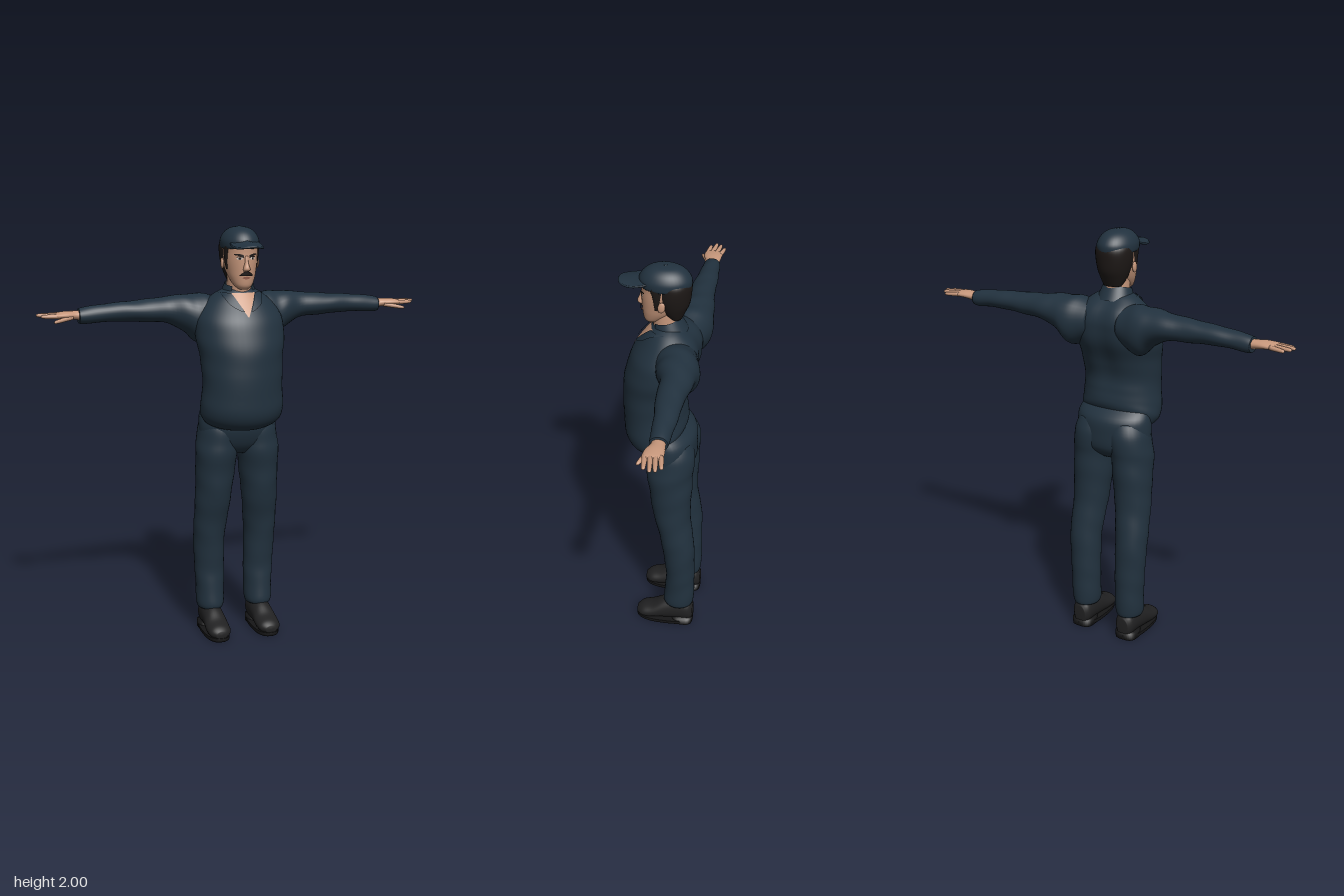
import * as THREE from 'three';

const mat = (name, color, side = THREE.FrontSide) => {
  const m = new THREE.MeshStandardMaterial({ color, side });
  m.name = name;
  return m;
};

// Catmull-Rom subdivision of rows [t, centreU, centreV, radiusU, radiusV]
function smooth(rows, steps = 5) {
  const out = [];
  for (let i = 0; i < rows.length - 1; i++) {
    const p0 = rows[Math.max(i - 1, 0)], p1 = rows[i], p2 = rows[i + 1], p3 = rows[Math.min(i + 2, rows.length - 1)];
    for (let s = 0; s < steps; s++) {
      const f = s / steps;
      out.push(p1.map((_, k) => 0.5 * (2 * p1[k] + (p2[k] - p0[k]) * f
        + (2 * p0[k] - 5 * p1[k] + 4 * p2[k] - p3[k]) * f * f
        + (3 * p1[k] - p0[k] - 3 * p2[k] + p3[k]) * f * f * f)));
    }
  }
  out.push(rows[rows.length - 1]);
  return out;
}

function makeGeometry(pos, index) {
  const g = new THREE.BufferGeometry();
  g.setAttribute('position', new THREE.Float32BufferAttribute(pos, 3));
  g.setIndex(index);
  g.computeVertexNormals();
  return g;
}

// Closed skin over superelliptic sections along one axis
function loft(rows, { axis = 'y', n = 32, power = 2, folds = 0, bend = null, steps = 5 } = {}) {
  const dense = smooth(rows, steps), pos = [], index = [], flip = axis !== 'y';
  const put = (t, u, v) => {
    const p = axis === 'y' ? [u, t, v] : axis === 'x' ? [t, u, v] : [u, v, t];
    if (bend) bend(p);
    pos.push(...p);
  };
  const tri = (a, b, c) => (flip ? index.push(a, c, b) : index.push(a, b, c));
  const se = (c) => Math.sign(c) * Math.pow(Math.abs(c), 2 / power);
  for (const [t, cu, cv, ru, rv] of dense) {
    for (let i = 0; i < n; i++) {
      const a = (i / n) * Math.PI * 2;
      const k = 1 + folds * (Math.sin(t * 48 + 2 * Math.sin(a)) + 0.7 * Math.sin(3 * a + t * 21));
      put(t, cu + ru * k * se(Math.cos(a)), cv + rv * k * se(Math.sin(a)));
    }
  }
  const m = dense.length, last = (m - 1) * n;
  for (let j = 0; j < m - 1; j++) for (let i = 0; i < n; i++) {
    const a = j * n + i, b = j * n + (i + 1) % n, c = a + n, d = b + n;
    tri(a, c, b); tri(b, c, d);
  }
  for (const r of [dense[0], dense[m - 1]]) put(r[0], r[1], r[2]);
  for (let i = 0; i < n; i++) {
    const q = (i + 1) % n;
    tri(m * n, i, q);
    tri(m * n + 1, last + q, last + i);
  }
  return makeGeometry(pos, index);
}

// Thin patch laid on the front of a loft; outline(u, v) gives x and y
function patch(rows, offset, outline, nu = 12, nv = 8) {
  const dense = smooth(rows), pos = [], index = [];
  for (let j = 0; j <= nv; j++) for (let i = 0; i <= nu; i++) {
    const [x, y] = outline(i / nu * 2 - 1, j / nv);
    let k = 0;
    while (k < dense.length - 2 && dense[k + 1][0] < y) k++;
    const f = (y - dense[k][0]) / (dense[k + 1][0] - dense[k][0]);
    const [, cx, cz, rx, rz] = dense[k].map((a, q) => a + (dense[k + 1][q] - a) * f);
    pos.push(x, y, cz + rz * Math.sqrt(Math.max(0, 1 - ((x - cx) / rx) ** 2)) + offset);
    if (i < nu && j < nv) {
      const a = j * (nu + 1) + i, c = a + nu + 1;
      index.push(a, a + 1, c, a + 1, c + 1, c);
    }
  }
  return makeGeometry(pos, index);
}

function mirrored(geo) {
  const g = geo.clone().scale(-1, 1, 1), ix = g.index.array;
  for (let i = 0; i < ix.length; i += 3) [ix[i], ix[i + 1]] = [ix[i + 1], ix[i]];
  g.computeVertexNormals();
  return g;
}

export function createModel() {
  const model = new THREE.Group();
  model.name = 'capped man';
  const cloth = mat('navy cloth', 0x22323f, THREE.DoubleSide);
  const skin = mat('skin', 0xc8987c, THREE.DoubleSide);
  const hair = mat('dark hair', 0x1d1816, THREE.DoubleSide);
  const leather = mat('shoe leather', 0x212122);
  const rubber = mat('shoe sole', 0x161617);
  const white = mat('eye white', 0xd8d0c8, THREE.DoubleSide);
  const lip = mat('lips', 0x96604f, THREE.DoubleSide);
  const add = (name, geo, m) => {
    const mesh = new THREE.Mesh(geo, m);
    mesh.name = name;
    model.add(mesh);
  };
  const pair = (name, geo, m) => {
    add('left ' + name, geo, m);
    add('right ' + name, mirrored(geo), m);
  };

  // Shirt: full belly, tilted hem and a hollow down the spine
  const torso = [
    [1.09, 0, -.01, .18, .095], [1.13, 0, .01, .2, .13], [1.18, 0, .025, .2, .148], [1.24, 0, .032, .194, .15],
    [1.32, 0, .032, .194, .15], [1.4, 0, .02, .2, .16], [1.48, 0, -.002, .212, .17], [1.55, 0, -.02, .212, .165],
    [1.6, 0, -.033, .195, .152], [1.65, 0, -.04, .16, .122], [1.69, 0, -.035, .11, .085], [1.71, 0, -.03, .07, .062]];
  add('shirt', loft(torso, {
    n: 48, folds: .006, bend: (p) => {
      p[1] -= p[2] * .5 * THREE.MathUtils.clamp((1.3 - p[1]) / .2, 0, 1);
      if (p[2] < -.05) p[2] += .02 * Math.exp(-((p[0] / .06) ** 2)) * THREE.MathUtils.clamp((p[1] - 1.2) / .2, 0, 1);
    },
  }), cloth);
  pair('sleeve', loft([
    [.08, 1.58, -.08, .085, .09], [.15, 1.57, -.09, .112, .105], [.2, 1.572, -.1, .112, .1], [.25, 1.595, -.105, .088, .09],
    [.33, 1.61, -.115, .062, .072], [.45, 1.61, -.11, .052, .062], [.55, 1.61, -.115, .045, .054],
    [.65, 1.605, -.115, .041, .046], [.72, 1.598, -.115, .039, .042], [.745, 1.597, -.115, .035, .039]],
  { axis: 'x', folds: .018 }), cloth);

  // Trousers
  add('trouser seat', loft([
    [.92, 0, -.05, .11, .06], [.97, 0, -.055, .18, .105], [1.05, 0, -.045, .192, .122],
    [1.12, 0, -.045, .188, .113], [1.17, 0, -.02, .17, .088]], { n: 40 }), cloth);
  pair('trouser leg', loft([
    [.12, .125, -.105, .062, .07], [.15, .125, -.105, .068, .077], [.25, .125, -.11, .071, .073], [.34, .127, -.11, .074, .072],
    [.5, .13, -.1, .078, .08], [.6, .124, -.083, .083, .083], [.71, .117, -.064, .088, .092], [.81, .111, -.06, .094, .1],
    [.92, .105, -.052, .1, .11], [.98, .1, -.054, .1, .113], [1.05, .09, -.058, .1, .112], [1.11, .08, -.055, .085, .09]],
  { folds: .012 }), cloth);

  // Shoes
  pair('shoe', loft([
    [-.178, .125, .065, .03, .045], [-.155, .125, .075, .048, .065], [-.1, .125, .08, .052, .07], [-.03, .126, .068, .054, .06],
    [.03, .127, .05, .058, .042], [.08, .127, .042, .052, .032], [.108, .127, .036, .026, .018]], { axis: 'z' }), leather);
  pair('sole', loft([[0, .127, -.035, .058, .138], [.008, .127, -.035, .062, .145], [.022, .127, -.035, .062, .145]],
    { power: 2.6 }), rubber);
  pair('heel', loft([[0, .127, -.125, .055, .054], [.035, .127, -.125, .055, .055]], { power: 3, steps: 1 }), rubber);

  // Hands
  pair('palm', loft([
    [.72, 1.598, -.115, .024, .029], [.76, 1.602, -.115, .02, .032], [.8, 1.605, -.11, .018, .042],
    [.84, 1.605, -.108, .014, .045], [.858, 1.605, -.108, .008, .038]], { axis: 'x', n: 20 }), skin);
  // Each digit: root x, y, z, then tip x, y, z
  [[.835, 1.605, -.142, .908, 1.602, -.156], [.84, 1.606, -.121, .932, 1.606, -.135], [.84, 1.606, -.099, .94, 1.608, -.113],
    [.835, 1.604, -.077, .922, 1.604, -.085], [.775, 1.596, -.088, .868, 1.58, -.05]].forEach(([x, y, z, a, b, c], i) => {
    const at = (f, r) => [x + (a - x) * f, y + (b - y) * f, z + (c - z) * f, r, r * 1.1];
    pair(i === 4 ? 'thumb' : 'finger ' + (i + 1),
      loft([at(0, .011), at(.5, .01), at(.9, .008), at(1, .003)], { axis: 'x', n: 10, steps: 3 }), skin);
  });

  // Neck, open neckline and collar
  add('neck', loft([[1.6, 0, -.03, .058, .06], [1.68, 0, -.025, .057, .066], [1.74, 0, -.02, .056, .066], [1.8, 0, -.02, .054, .07]]), skin);
  const edge = (v) => .002 + .056 * v;
  add('neckline', patch(torso, .005, (u, v) => [u * edge(v), 1.59 + .105 * v]), skin);
  pair('collar flap', patch(torso, .012, (u, v) => {
    const inner = edge(.25 + .75 * v), outer = inner + .012 + .034 * Math.sin(Math.min(1, v * 2.2) * Math.PI / 2);
    return [inner + (outer - inner) * (u + 1) / 2, 1.616 + .08 * v];
  }), cloth);
  const band = new THREE.CylinderGeometry(.068, .092, .07, 36, 3, true, .75, Math.PI * 2 - 1.5);
  band.scale(1, 1, .92).rotateX(.22).translate(0, 1.7, -.026);
  add('collar band', band, cloth);

  // Head
  const head = [
    [1.712, 0, .05, .02, .02], [1.73, 0, .042, .042, .042], [1.765, 0, .02, .06, .07], [1.8, 0, .005, .07, .088],
    [1.84, 0, -.004, .077, .099], [1.88, 0, -.01, .08, .105], [1.92, 0, -.012, .08, .105], [1.96, 0, -.012, .06, .08]];
  add('head', loft(head, { n: 40 }), skin);
  add('nose', loft([[1.795, 0, .088, .009, .008], [1.804, 0, .096, .016, .016], [1.815, 0, .097, .015, .017],
    [1.838, 0, .092, .009, .013], [1.868, 0, .09, .008, .007]], { n: 16 }), skin);
  const ear = new THREE.SphereGeometry(1, 16, 12);
  ear.scale(.008, .026, .017).rotateX(-.15).translate(.085, 1.83, -.008);
  pair('ear', ear, skin);
  pair('eye', patch(head, .002, (u, v) => [.031 + .013 * u, 1.857 + (v - .5) * .011 * Math.sqrt(1 - u * u)]), white);
  pair('iris', patch(head, .004, (u, v) => [.031 + .006 * u, 1.857 + (v - .5) * .011 * Math.sqrt(1 - u * u)]), hair);
  pair('upper lash', patch(head, .005, (u, v) => [.031 + .014 * u, 1.861 + .003 * (1 - u * u) + .003 * v]), hair);
  pair('eyebrow', patch(head, .005, (u, v) => [.033 + .02 * u, 1.873 + .005 * u - .003 * u * u + .008 * (v - .5) * (1.2 - .5 * u)]), hair);
  add('moustache', patch(head, .008, (u, v) => [.034 * u, 1.788 - .01 * u * u + (v - .5) * .02 * (1.05 - u * u)], 20), hair);
  add('mouth', patch(head, .004, (u, v) => [.02 * u, 1.768 + (v - .5) * .012 * (1.02 - u * u)]), lip);

  // Hair at the back, sideburns
  add('back hair', loft([
    [1.745, 0, -.06, .045, .03], [1.78, 0, -.05, .064, .055], [1.82, 0, -.048, .078, .074], [1.87, 0, -.044, .086, .085],
    [1.92, 0, -.04, .086, .087], [1.95, 0, -.03, .07, .07]], { folds: .008 }), hair);
  pair('sideburn', loft([[1.805, .068, .018, .006, .006], [1.83, .071, .016, .008, .012], [1.87, .073, .014, .01, .02],
    [1.915, .073, .014, .011, .034]], { n: 16 }), hair);

  // Cap with button and curved peak
  add('cap', loft([[1.9, 0, -.012, .085, .113], [1.912, 0, -.012, .089, .118], [1.94, 0, -.012, .087, .116],
    [1.97, 0, -.012, .07, .094], [1.99, 0, -.012, .043, .06], [1.997, 0, -.012, .01, .014]], { n: 40 }), cloth);
  const button = new THREE.SphereGeometry(.008, 12, 8);
  button.scale(1, .5, 1).translate(0, 1.996, -.012);
  add('cap button', button, cloth);
  add('cap peak', loft([[-.005, 0, .1, .07, .094], [0, 0, .1, .073, .099], [.005, 0, .1, .07, .094]], {
    n: 40, power: 2.3, bend: (p) => { p[1] += 1.935 - .2 * (p[2] - .1) - 4 * p[0] * p[0]; },
  }), cloth);
  return model;
}
